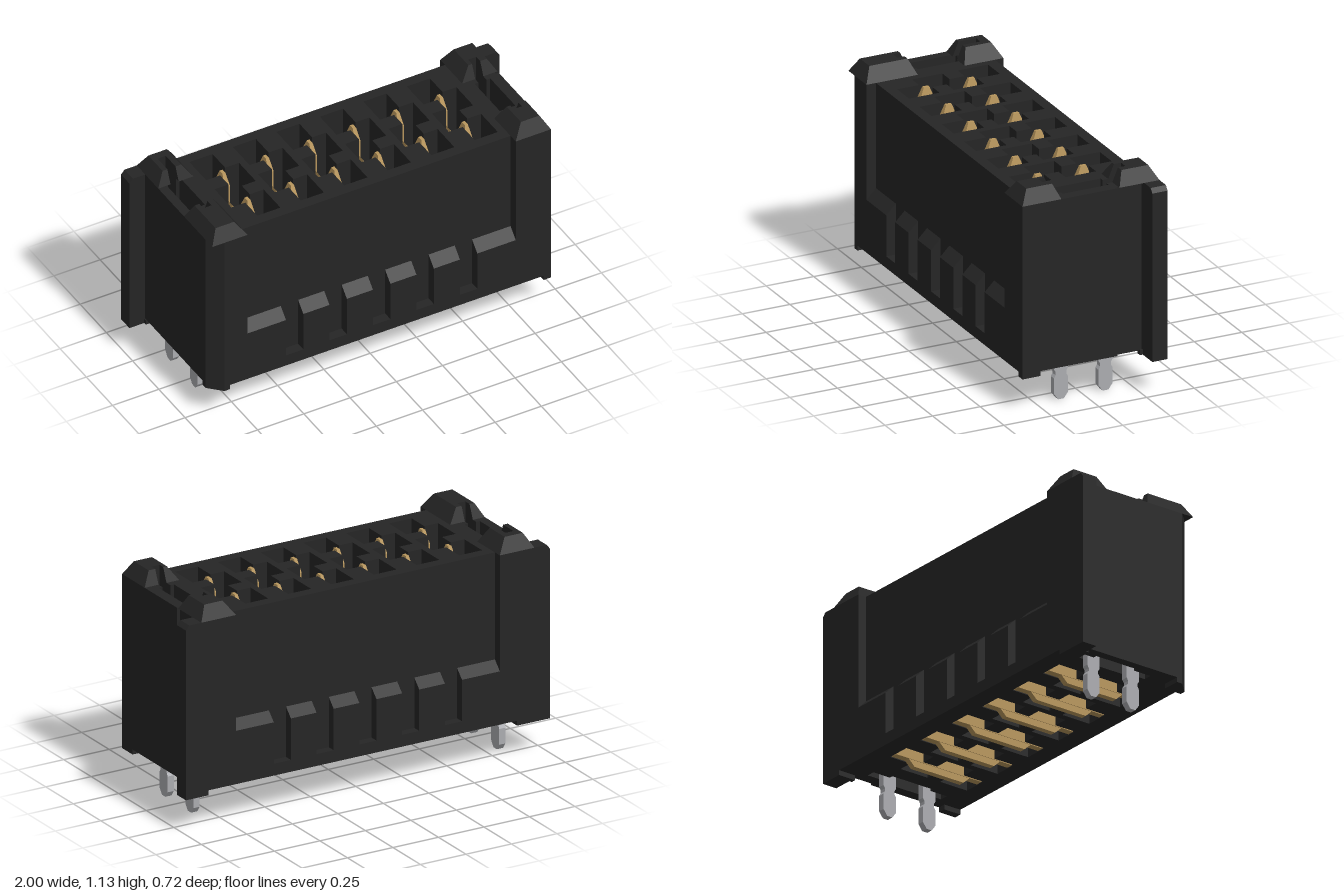
import * as THREE from 'three';

const mat = (name, color) => Object.assign(new THREE.MeshStandardMaterial({ color }), { name });

export function createModel() {
  const black = mat('black plastic', 0x252525);
  const gold = mat('gold contact', 0xb8965c);
  const steel = mat('tinned steel', 0xabacb0);
  const root = new THREE.Group();
  root.name = 'boardConnector';

  const TOP = 1.057, BOTTOM = 0.2, PITCH = 0.235;

  const add = (name, geometry, material, parent = root) => {
    const mesh = new THREE.Mesh(geometry, material);
    mesh.name = name;
    parent.add(mesh);
    return mesh;
  };
  const poly = (pts) => pts.map(([a, b]) => new THREE.Vector2(a, b));
  const extrude = (shape, depth) => new THREE.ExtrudeGeometry(shape, { depth, bevelEnabled: false });

  // Box given by its limits; its top face is drawn in by inset = [x0, x1, z0, z1]
  const block = (x0, x1, y0, y1, z0, z1, inset = [0, 0, 0, 0]) => {
    const g = new THREE.BoxGeometry(1, 1, 1);
    const p = g.attributes.position;
    for (let i = 0; i < p.count; i++) {
      const t = p.getY(i) > 0 ? 1 : 0;
      p.setXYZ(i,
        p.getX(i) < 0 ? x0 + t * inset[0] : x1 - t * inset[1],
        t ? y1 : y0,
        p.getZ(i) < 0 ? z0 + t * inset[2] : z1 - t * inset[3]);
    }
    g.computeVertexNormals();
    return g;
  };
  // Profile in (z, y), extruded from x0 to x1
  const alongX = (pts, x0, x1) =>
    extrude(new THREE.Shape(poly(pts)), x1 - x0).rotateY(-Math.PI / 2).translate(x1, 0, 0);

  const columns = [...Array(6)].map((_, i) => (i - 2.5) * PITCH);
  const clips = [
    { x: -0.827, z: -0.06, front: 0.09, back: -0.155 },
    { x: 0.817, z: 0, front: 0.155, back: -0.15 },
  ];

  // Housing: plan outline with recessed long sides and end pillars
  const plan = new THREE.Shape(poly([
    [-0.915, -0.36], [-0.725, -0.36], [-0.725, -0.315], [0.725, -0.315], [0.725, -0.36],
    [0.885, -0.36], [0.885, -0.26], [0.9, -0.26], [0.9, -0.14], [0.915, -0.14],
    [0.915, 0.36], [0.725, 0.36], [0.725, 0.31], [-0.725, 0.31], [-0.725, 0.36],
    [-0.85, 0.36], [-0.915, 0.295],
  ]));
  // Zigzag contact cavities
  for (const c of columns) {
    plan.holes.push(new THREE.Path(poly([
      [-0.1, -0.26], [0.025, -0.26], [0.025, -0.14], [0.1, -0.14], [0.1, -0.02 + 0.04],
      [0.025, 0.02], [0.025, 0.095], [0.1, 0.095], [0.1, 0.255], [-0.025, 0.255],
      [-0.025, 0.14], [-0.1, 0.14], [-0.1, -0.02], [-0.025, -0.02], [-0.025, -0.1], [-0.1, -0.1],
    ].map(([x, z]) => [c + x, z]))));
  }
  // Cross-shaped clip slots
  for (const { x, z } of clips) {
    const w = 0.042, n = 0.022, a = 0.12, b = 0.218;
    plan.holes.push(new THREE.Path(poly([
      [-n, -b], [n, -b], [n, -a], [w, -a], [w, a], [n, a],
      [n, b], [-n, b], [-n, a], [-w, a], [-w, -a], [-n, -a],
    ].map(([u, v]) => [x + u, z + v]))));
  }
  add('housing', extrude(plan, TOP - BOTTOM).rotateX(Math.PI / 2).translate(0, TOP, 0), black);

  // Lower bands with five slots, front and back
  for (const side of [1, -1]) {
    const band = new THREE.Group();
    band.name = side > 0 ? 'frontBand' : 'backBand';
    band.rotation.y = side > 0 ? 0 : Math.PI;
    add('bandBase', block(-0.725, 0.725, BOTTOM, 0.26, 0.3, 0.36), black, band);
    for (let i = 0; i < 6; i++) {
      const x0 = i === 0 ? -0.725 : (i - 3) * PITCH + 0.047;
      const x1 = i === 5 ? 0.725 : (i - 2) * PITCH - 0.047;
      add('bandRib', alongX([[0.3, 0.26], [0.36, 0.26], [0.36, 0.47], [0.31, 0.52], [0.3, 0.52]], x0, x1), black, band);
    }
    root.add(band);
  }

  // Back flanges with a clipped top corner, reaching down to the feet
  for (const s of [1, -1]) {
    const inner = s > 0 ? 0.88 : 0.91;
    const pts = [[inner, 0.175], [1, 0.175], [1, 1.035], [0.982, TOP], [inner, TOP]].map(([x, y]) => [s * x, y]);
    add('backFlange', extrude(new THREE.Shape(poly(pts)), 0.08).translate(0, 0, -0.36), black);
  }

  // Corner feet
  add('backFoot', block(-0.92, -0.82, 0.175, BOTTOM, -0.36, -0.265), black);
  add('backFoot', block(0.875, 0.9, 0.175, BOTTOM, -0.36, -0.265), black);
  add('frontFoot', block(0.875, 0.915, 0.175, BOTTOM, 0.265, 0.36), black);
  const foot = new THREE.Shape(poly([[-0.915, 0.265], [-0.82, 0.265], [-0.82, 0.36], [-0.85, 0.36], [-0.915, 0.295]]));
  add('frontFoot', extrude(foot, 0.025).rotateX(Math.PI / 2).translate(0, BOTTOM, 0), black);

  // Guide horns on the corners, notched around the clips
  for (const { x, z, front, back } of clips) {
    const x0 = x < 0 ? -0.915 : 0.725, x1 = x < 0 ? -0.725 : 0.915;
    const a = x < 0 ? 0.04 : 0.05, b = x < 0 ? 0.05 : 0.04, y = 1.127;
    const zf = z + 0.218, zb = z - 0.218;
    add('frontHorn', block(x0, x1, TOP, y, zf, 0.36, [a, b, 0, 0.04]), black);
    add('frontHornProng', block(x0, x - 0.022, TOP, y, front, zf, [a, 0, 0.03, 0]), black);
    add('frontHornProng', block(x + 0.022, x1, TOP, y, front, zf, [0, b, 0.03, 0]), black);
    add('backHorn', block(x0, x1, TOP, y, -0.36, zb, [a, b, 0.04, 0]), black);
    add('backHornProng', block(x0, x - 0.022, TOP, y, zb, back, [a, 0, 0, 0.03]), black);
    add('backHornProng', block(x + 0.022, x1, TOP, y, zb, back, [0, b, 0, 0.03]), black);
  }

  // Board clips: a plate inside the housing with two necked legs
  const leg = [[0.015, 0], [0.037, 0.03], [0.037, 0.11], [0.028, 0.125], [0.028, 0.14], [0.037, 0.155], [0.037, 0.32]];
  const legOutline = [...leg, ...leg.map(([z, y]) => [-z, y]).reverse()];
  for (const { x, z } of clips) {
    const clip = new THREE.Group();
    clip.name = 'boardClip';
    clip.position.set(x, 0, z);
    add('clipPlate', block(-0.017, 0.017, 0.32, 0.85, -0.215, 0.215), steel, clip);
    for (const s of [1, -1])
      add('clipLeg', alongX(legOutline.map(([u, y]) => [u + s * 0.117, y]), -0.017, 0.017), steel, clip);
    root.add(clip);
  }

  // Contacts: spine with keel, bent spring beams to either side, and two tips
  const beam = (s) => {
    const pts = [[0, 0.35], [0.07, 0.62], [0.085, 0.7], [0.085, 0.78], [0, 0.92],
      [0, 0.86], [0.055, 0.76], [0.055, 0.7], [0, 0.5]].map(([x, y]) => [s * x, y]);
    return extrude(new THREE.Shape(poly(pts)), 0.07).translate(0, 0, -0.035);
  };
  for (const c of columns) {
    const contact = new THREE.Group();
    contact.name = 'contact';
    contact.position.x = c;
    add('spine', block(-0.018, 0.018, 0.2, 0.45, -0.255, 0.25), gold, contact);
    add('keel', alongX([[-0.18, 0.2], [-0.145, 0.167], [0.145, 0.167], [0.18, 0.2]], -0.015, 0.015), gold, contact);
    [-0.18, -0.06, 0.06, 0.175].forEach((z, i) => {
      add('springBeam', beam(i % 2 ? 1 : -1), gold, contact).position.z = z;
    });
    for (const z of [-0.12, 0.117]) {
      add('contactPost', block(-0.018, 0.018, 0.45, 0.99, z - 0.04, z + 0.04), gold, contact);
      add('contactTip', block(-0.018, 0.018, 0.99, 1.055, z - 0.04, z + 0.04, [0.01, 0.01, 0.025, 0.025]), gold, contact);
    }
    root.add(contact);
  }

  return root;
}
